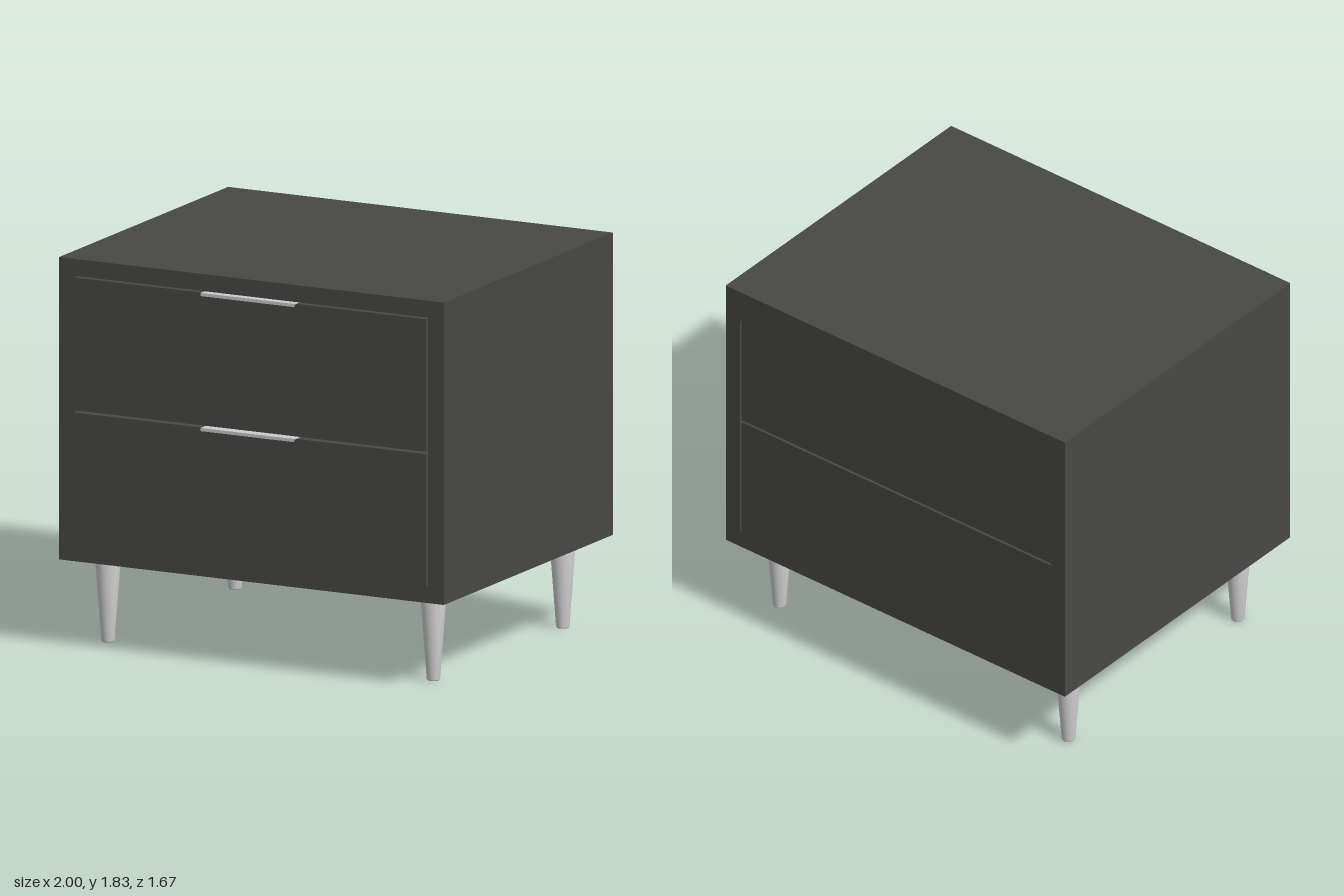
import * as THREE from 'three';

export function createModel() {
  const group = new THREE.Group();
  const dark = new THREE.MeshStandardMaterial({ color: 0x484846 });
  const grey = new THREE.MeshStandardMaterial({ color: 0xcccccc });
  const BACK = -0.835, FRONT = 0.808;

  // Box given by its limits on each axis
  function box(name, [x0, x1], [y0, y1], [z0, z1], material = dark, parent = group) {
    const mesh = new THREE.Mesh(new THREE.BoxGeometry(x1 - x0, y1 - y0, z1 - z0), material);
    mesh.position.set((x0 + x1) / 2, (y0 + y1) / 2, (z0 + z1) / 2);
    mesh.name = name;
    parent.add(mesh);
    return mesh;
  }

  // Cabinet carcass
  const depth = [BACK, FRONT];
  box('topPanel', [-1, 1], [1.752, 1.832], depth);
  box('bottomPanel', [-1, 1], [0.41, 0.492], depth);
  box('rightSidePanel', [-1, -0.918], [0.492, 1.752], depth);
  box('leftSidePanel', [0.917, 1], [0.492, 1.752], depth);
  box('backRail', [-0.918, 0.917], [1.67, 1.752], [BACK, BACK + 0.04]);

  // Two drawers with a narrow gap above each and along the left side
  const drawers = [['lower', 0.492, 1.109], ['upper', 1.12, 1.744]];
  for (const [level, y0, y1] of drawers) {
    box(level + 'Drawer', [-0.918, 0.906], [y0, y1], depth);

    // Folded edge pull: thin plate with a small downward lip
    const handle = new THREE.Group();
    handle.name = level + 'Handle';
    const span = [-0.25, 0.237], top = y1 + 0.005;
    box('handlePlate', span, [top - 0.004, top], [FRONT - 0.03, 0.835], grey, handle);
    box('handleLip', span, [top - 0.015, top - 0.004], [0.831, 0.835], grey, handle);
    group.add(handle);
  }

  // Tapered round legs
  const profile = [[0, 0], [0.027, 0], [0.031, 0.006], [0.061, 0.41], [0, 0.41]]
    .map(([r, y]) => new THREE.Vector2(r, y));
  const legGeometry = new THREE.LatheGeometry(profile, 32);
  const legs = [
    ['frontRightLeg', -0.855, 0.605], ['frontLeftLeg', 0.837, 0.605],
    ['backRightLeg', -0.855, -0.63], ['backLeftLeg', 0.849, -0.63],
  ];
  for (const [name, x, z] of legs) {
    const leg = new THREE.Mesh(legGeometry, grey);
    leg.name = name;
    leg.position.set(x, 0, z);
    group.add(leg);
  }

  return group;
}
